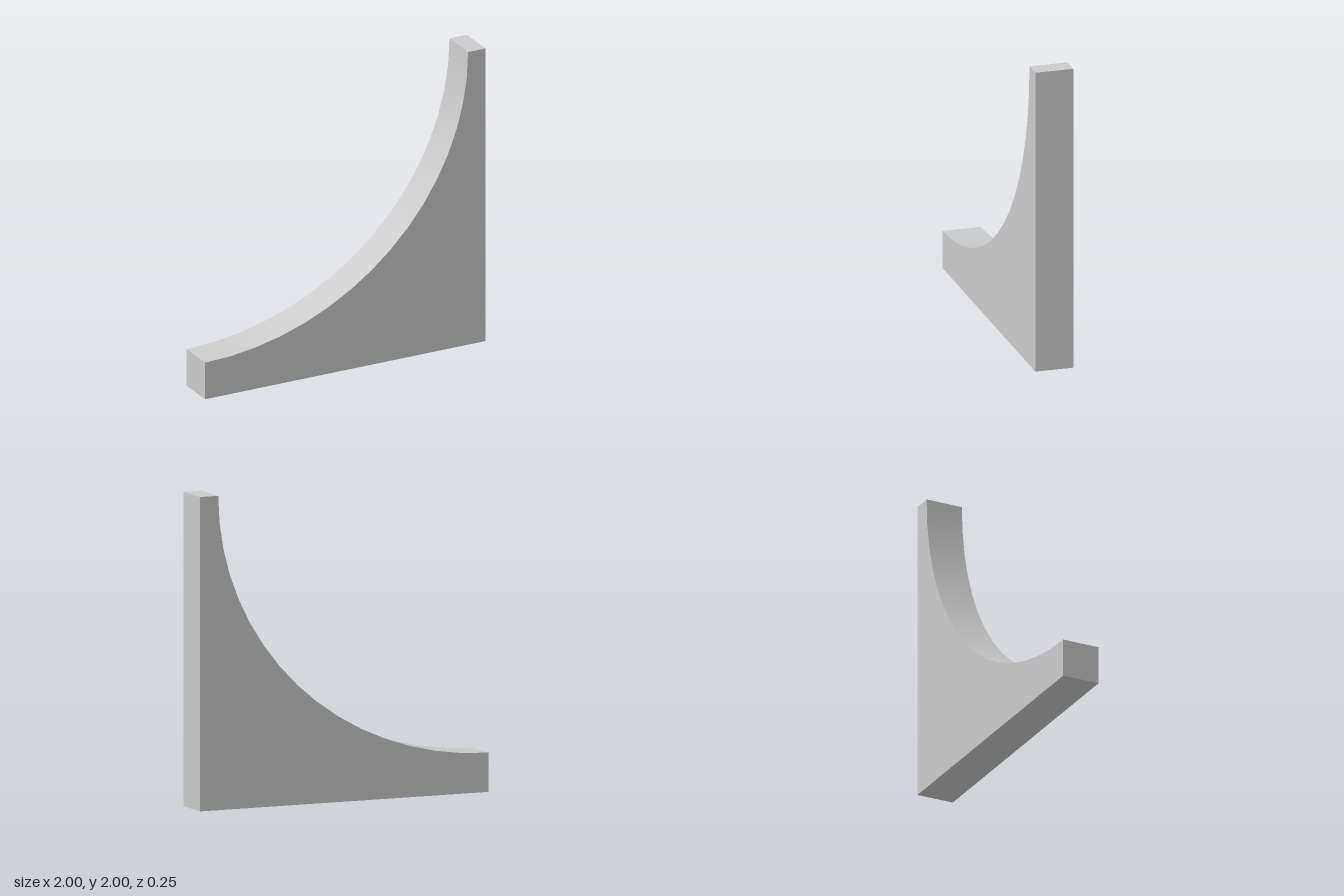
import * as THREE from 'three';
import { toCreasedNormals } from 'three/addons/utils/BufferGeometryUtils.js';

export function createModel() {
  const width = 2, height = 2, depth = 0.25;
  const postWidth = 0.125, footHeight = 0.25;
  const half = width / 2;

  // Bracket outline: straight foot and back, with a concave quarter ellipse between them
  const outline = new THREE.Shape();
  outline.moveTo(-half, 0);
  outline.lineTo(half, 0);
  outline.lineTo(half, height);
  outline.lineTo(half - postWidth, height);
  outline.absellipse(-half, height, width - postWidth, height - footHeight, 0, -Math.PI / 2, true);
  outline.closePath();

  // An ellipse gets twice this many segments: 16 along the curve
  const extruded = new THREE.ExtrudeGeometry(outline, { depth, bevelEnabled: false, curveSegments: 8 });
  extruded.translate(0, 0, -depth / 2);

  // Smooth along the curve, sharp at the edges
  const bracket = new THREE.Mesh(
    toCreasedNormals(extruded, 0.4),
    new THREE.MeshStandardMaterial({ color: 0xcccccc })
  );
  bracket.name = 'curvedBracket';

  const group = new THREE.Group();
  group.name = 'cornerBracket';
  group.add(bracket);
  return group;
}
